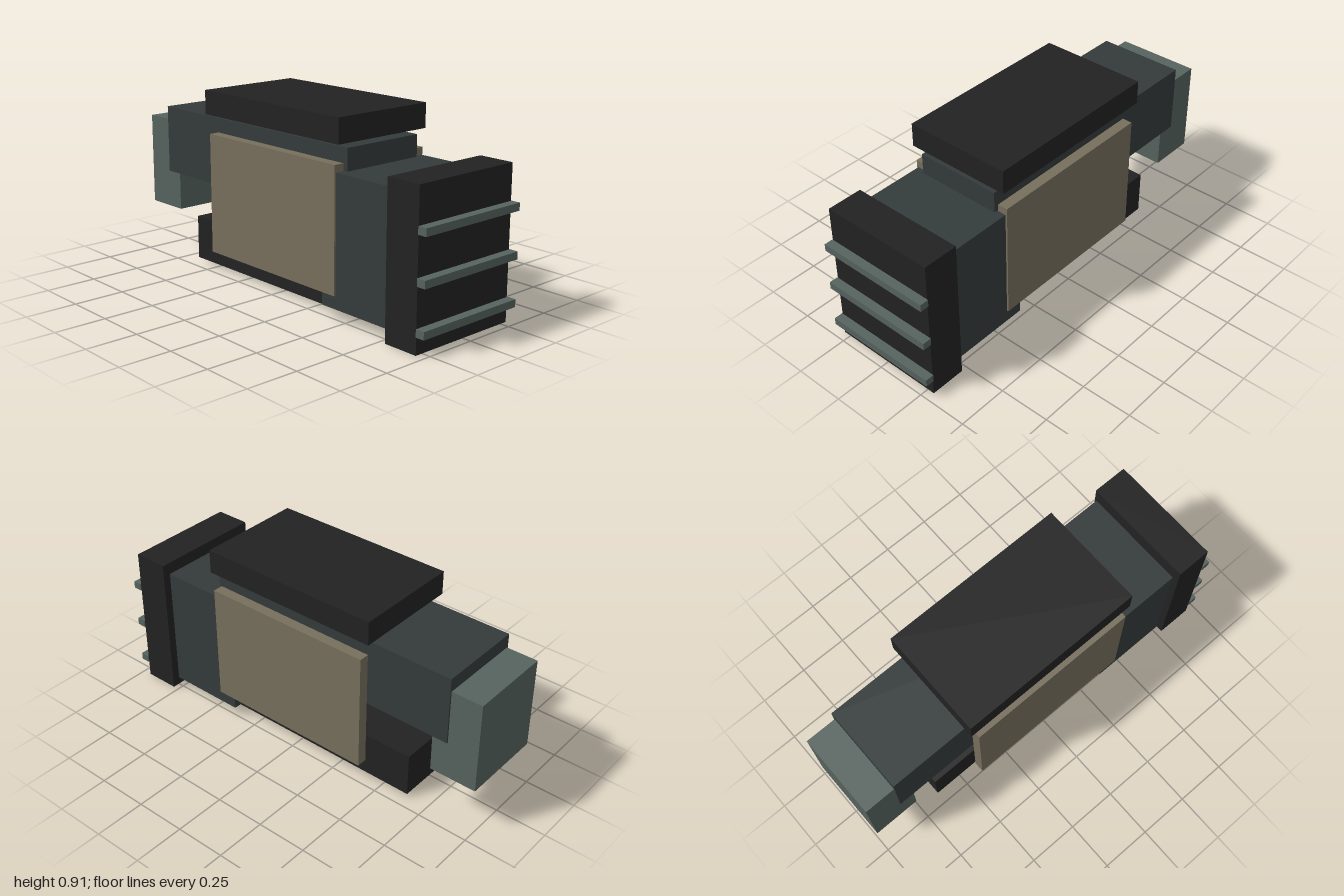
import * as THREE from 'three';

const material = (name, color) => {
  const m = new THREE.MeshStandardMaterial({ color });
  m.name = name;
  return m;
};

export function createModel() {
  const black = material('black', 0x222222);
  const slate = material('dark slate', 0x343b3b);
  const grey = material('grey green', 0x56635f);
  const tan = material('tan', 0x776f5d);

  const model = new THREE.Group();
  model.name = 'blockMachine';

  // Box given by its extents along each axis
  const box = (name, mat, [x0, x1], [y0, y1], [z0, z1]) => {
    const mesh = new THREE.Mesh(new THREE.BoxGeometry(x1 - x0, y1 - y0, z1 - z0), mat);
    mesh.position.set((x0 + x1) / 2, (y0 + y1) / 2, (z0 + z1) / 2);
    mesh.name = name;
    model.add(mesh);
  };

  // Front plate with three horizontal bars
  box('frontPlate', black, [-0.288, 0.286], [0, 0.719], [0.78, 0.956]);
  [0.098, 0.315, 0.532].forEach((y, i) =>
    box(`frontBar${i + 1}`, grey, [-0.291, 0.291], [y - 0.018, y + 0.018], [0.956, 1]));

  // Body blocks
  box('frontBlock', slate, [-0.265, 0.261], [0.055, 0.671], [0.365, 0.763]);
  box('upperBody', slate, [-0.217, 0.214], [0.44, 0.775], [-0.846, 0.471]);
  box('lowerBody', black, [-0.195, 0.191], [0.02, 0.238], [-0.641, 0.465]);
  box('rearBlock', grey, [-0.21, 0.206], [0.252, 0.708], [-1, -0.766]);

  // Roof slab floating above the body
  box('roofSlab', black, [-0.27, 0.267], [0.796, 0.913], [-0.456, 0.471]);

  // Side panels
  box('leftPanel', tan, [0.219, 0.27], [0.118, 0.706], [-0.419, 0.453]);
  box('rightPanel', tan, [-0.274, -0.223], [0.118, 0.706], [-0.419, 0.453]);

  return model;
}
